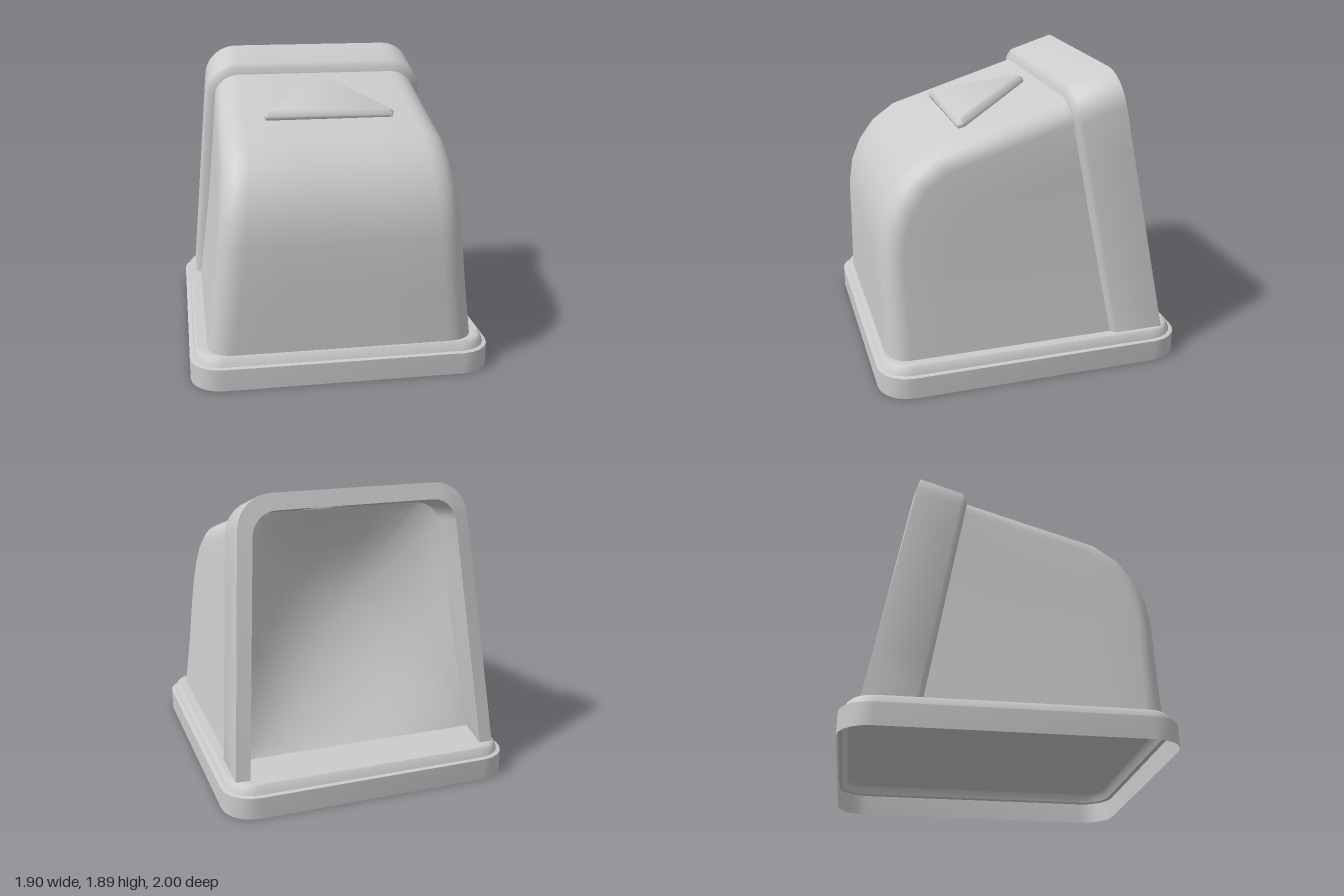
import * as THREE from 'three';
import { toCreasedNormals } from 'three/addons/utils/BufferGeometryUtils.js';

const grey = new THREE.MeshStandardMaterial({ color: 0xcccccc });
const greyThin = new THREE.MeshStandardMaterial({ color: 0xcccccc, side: THREE.DoubleSide });

// Skin a list of equally long rows of [x, y, z] points
function loft(rows, crease) {
  const n = rows[0].length, index = [];
  for (let i = 0; i < rows.length - 1; i++) {
    for (let j = 0; j < n - 1; j++) {
      const a = i * n + j, c = a + n;
      index.push(a, c, a + 1, a + 1, c, c + 1);
    }
  }
  const g = new THREE.BufferGeometry();
  g.setAttribute('position', new THREE.Float32BufferAttribute(rows.flat(2), 3));
  g.setIndex(index);
  return toCreasedNormals(g, crease);
}

// Rounded rectangle in a horizontal plane
function ring(hx, hz, r, y) {
  const pts = [], steps = 5;
  for (let q = 0; q < 4; q++) {
    const sx = q === 0 || q === 3 ? 1 : -1, sz = q < 2 ? 1 : -1;
    for (let k = 0; k <= steps; k++) {
      const a = (q + k / steps) * Math.PI / 2;
      pts.push([sx * (hx - r) + r * Math.cos(a), y, sz * (hz - r) + r * Math.sin(a)]);
    }
  }
  pts.push(pts[0]);
  return pts;
}

// Round-cornered arch in the plane from a foot (z, y) to a crest (z, y)
function arch(foot, crest, width, rx, rt) {
  const dz = crest[0] - foot[0], dy = crest[1] - foot[1], len = Math.hypot(dz, dy);
  const at = (t, inset) => {
    const y = foot[1] + dy * t / len;
    return [width(y) - inset, y, foot[0] + dz * t / len];
  };
  const half = [];
  for (let k = 0; k < 5; k++) half.push(at((len - rt) * k / 5, 0));
  for (let k = 0; k <= 6; k++) {
    const a = k / 6 * Math.PI / 2;
    half.push(at(len - rt + rt * Math.sin(a), rx * (1 - Math.cos(a))));
  }
  const end = half[half.length - 1];
  half.push([end[0] / 2, end[1], end[2]]);
  const mirrored = half.map(([x, y, z]) => [-x, y, z]).reverse();
  return [...half, ...mirrored];
}

// Dish filling an arch, bulging forward towards its middle
function dish(foot, crest, depth) {
  const edge = arch(foot, crest, shellWidth, 0.16, 0.14);
  const [footX] = edge[0];
  for (let k = 1; k <= 8; k++) edge.push([footX * (k / 4 - 1), foot[1], foot[0]]);
  const cy = (foot[1] + crest[1]) / 2, cz = (foot[0] + crest[0]) / 2;
  const rows = [];
  for (let i = 0; i <= 12; i++) {
    const s = 1 - i / 12;
    rows.push(edge.map((p) => {
      const x = p[0] * s, y = cy + (p[1] - cy) * s, z = cz + (p[2] - cz) * s;
      const u = x / shellWidth(y), v = (y - cy) / (crest[1] - cy);
      return [x, y, z + depth * (1 - u * u) * (1 - v * v)];
    }));
  }
  return loft(rows, 1);
}

const shellWidth = (y) => 0.838 - 0.135 * (y - 0.2) + 0.026 * (y - 0.2) ** 2;
const rimWidth = (y) => 0.87 - 0.08 * (y - 0.2);
const lipWidth = (y) => rimWidth(y) - 0.012;
const innerWidth = (y) => rimWidth(y) - 0.09;

export function createModel() {
  const model = new THREE.Group();
  const add = (name, geometry, material) => {
    const mesh = new THREE.Mesh(geometry, material);
    mesh.name = name;
    model.add(mesh);
    return mesh;
  };

  // Stepped base lid: a thin skin, open underneath
  add('base', loft([
    ring(0.95, 1.0, 0.2, 0),
    ring(0.95, 1.0, 0.2, 0.14),
    ring(0.925, 0.975, 0.18, 0.145),
    ring(0.915, 0.96, 0.17, 0.18),
    ring(0.9, 0.945, 0.16, 0.2),
    ring(0.87, 0.915, 0.14, 0.2),
    ring(0, 0, 0, 0.2),
  ], 0.9), greyThin);

  // Hood: arches fanned around the foot of the rear rim
  const crests = [
    [0.935, 0.2], [0.935, 0.55], [0.935, 0.88], [0.91, 1.06], [0.85, 1.21],
    [0.75, 1.35], [0.6, 1.46], [0.17, 1.595], [-0.28, 1.735],
  ];
  add('hood', loft(crests.map((c) => arch([-0.56, 0.2], c, shellWidth, 0.16, 0.14)), 0.8), greyThin);

  // Raised frame around the rear opening
  add('rearRim', loft([
    arch([-0.525, 0.2], [-0.258, 1.728], shellWidth, 0.16, 0.14),
    arch([-0.545, 0.2], [-0.268, 1.767], lipWidth, 0.19, 0.17),
    arch([-0.56, 0.2], [-0.288, 1.8], rimWidth, 0.2, 0.2),
    arch([-0.875, 0.2], [-0.57, 1.89], rimWidth, 0.2, 0.2),
    arch([-0.88, 0.2], [-0.605, 1.79], innerWidth, 0.14, 0.14),
    arch([-0.525, 0.2], [-0.275, 1.72], shellWidth, 0.16, 0.14),
  ], 0.9), greyThin);

  // Concave wall closing the rear opening
  add('recessWall', dish([-0.61, 0.2], [-0.285, 1.71], 0.28), greyThin);

  // Raised triangle lying on the sloping top
  const triangle = new THREE.Shape();
  triangle.moveTo(-0.41, 0);
  triangle.lineTo(0.41, 0);
  triangle.lineTo(0.42, 0.04);
  triangle.lineTo(0.4, 0.07);
  triangle.lineTo(0.035, 0.565);
  triangle.quadraticCurveTo(0, 0.6, -0.035, 0.565);
  triangle.lineTo(-0.4, 0.07);
  triangle.lineTo(-0.42, 0.04);
  triangle.closePath();
  const panel = add('raisedTriangle', toCreasedNormals(new THREE.ExtrudeGeometry(triangle, {
    depth: 0.022, bevelEnabled: true, bevelSize: 0.035, bevelOffset: -0.035,
    bevelThickness: 0.032, bevelSegments: 1, curveSegments: 4,
  }), 0.9), grey);
  panel.position.set(0, 1.53, 0.37);
  panel.rotation.x = -1.266;

  return model;
}
